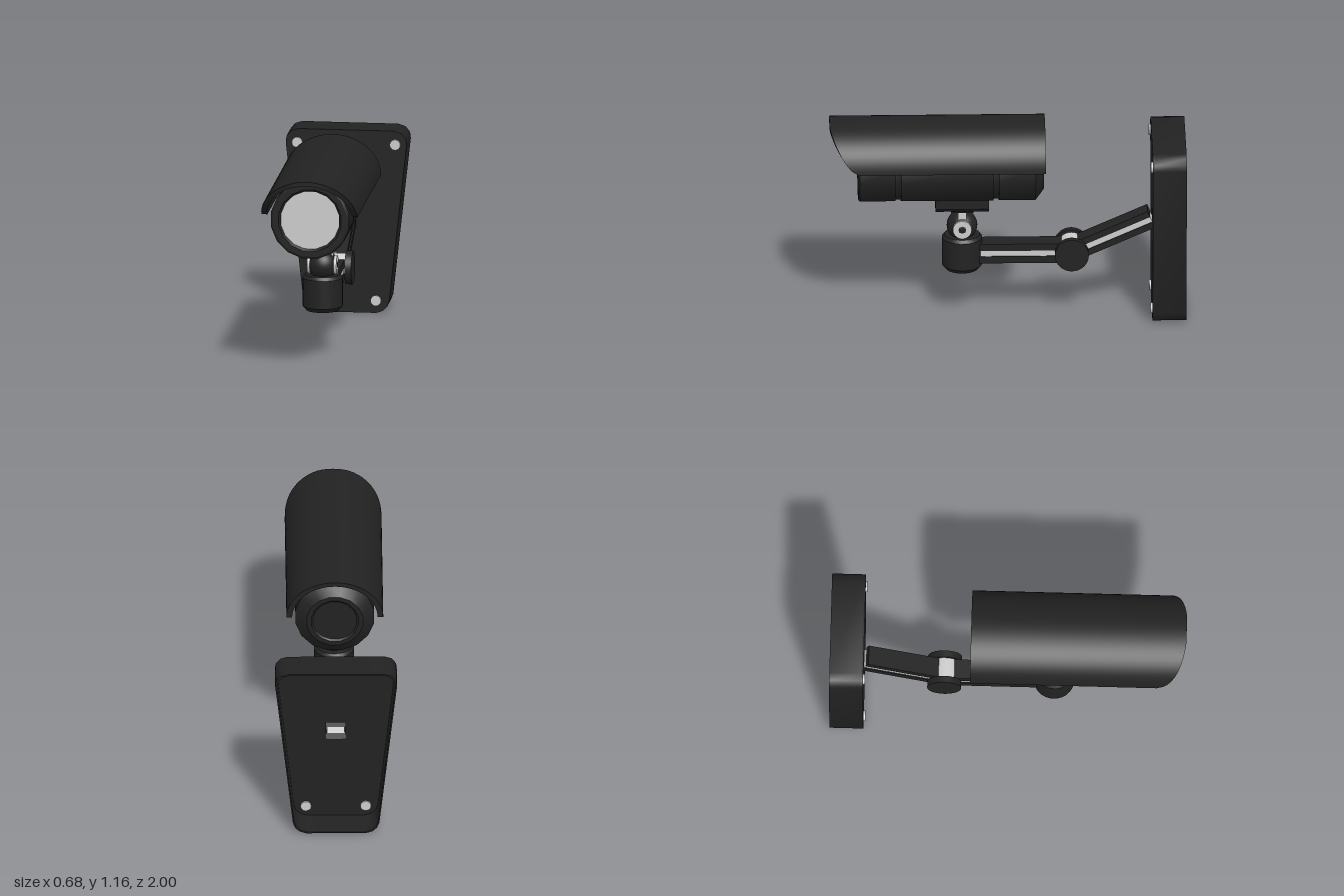
import * as THREE from 'three';
import { toCreasedNormals } from 'three/addons/utils/BufferGeometryUtils.js';

const dark = new THREE.MeshStandardMaterial({ color: 0x222222 });
dark.name = 'black plastic';
const light = new THREE.MeshStandardMaterial({ color: 0xcccccc });
light.name = 'light grey metal';

function add(parent, name, geo, mat, x = 0, y = 0, z = 0) {
  const m = new THREE.Mesh(geo, mat);
  m.name = name;
  m.position.set(x, y, z);
  parent.add(m);
  return m;
}

// Turned part around y, profile given as [radius, height] from bottom to top
function turned(profile, segs) {
  const pts = profile.map(([r, h]) => new THREE.Vector2(r, h));
  return toCreasedNormals(new THREE.LatheGeometry(pts, segs, Math.PI / segs), 0.45);
}

const cylX = (r, len, segs = 32) => new THREE.CylinderGeometry(r, r, len, segs).rotateZ(Math.PI / 2);
const cylZ = (r, len, segs = 24) => new THREE.CylinderGeometry(r, r, len, segs).rotateX(Math.PI / 2);

// Tapered wall plate outline with rounded corners, shrunk by an inset
function plateOutline(inset) {
  const half = [[0.17, 0], [0.205, 0.012], [0.23, 0.035], [0.243, 0.07],
    [0.342, 0.97], [0.338, 1.005], [0.312, 1.037], [0.27, 1.05]];
  const kx = 1 - inset / 0.29, ky = 1 - inset / 0.525;
  const right = half.map(([x, y]) => new THREE.Vector2(x * kx, 0.525 + (y - 0.525) * ky));
  const left = right.map(p => new THREE.Vector2(-p.x, p.y)).reverse();
  return right.concat(left);
}

function wallPlate(g) {
  const rim = new THREE.Shape(plateOutline(0));
  rim.holes.push(new THREE.Path(plateOutline(0.008)));
  const rimGeo = new THREE.ExtrudeGeometry(rim, { depth: 0.18, bevelEnabled: false });
  add(g, 'wallPlateRim', toCreasedNormals(rimGeo, 0.6), dark, 0, 0, -1);

  // face with an opening for the arm
  const face = new THREE.Shape(plateOutline(0));
  face.holes.push(new THREE.Path([[-0.055, 0.51], [-0.055, 0.62], [0.055, 0.62], [0.055, 0.51]]
    .map(([x, y]) => new THREE.Vector2(x, y))));
  const faceGeo = new THREE.ExtrudeGeometry(face, { depth: 0.01, bevelEnabled: false });
  add(g, 'wallPlateFace', toCreasedNormals(faceGeo, 0.6), dark, 0, 0, -0.82);

  for (const s of [-1, 1]) {
    add(g, 'upperScrew', cylZ(0.03, 0.03), light, s * 0.277, 0.972, -0.815);
    add(g, 'lowerScrew', cylZ(0.03, 0.03), light, s * 0.168, 0.072, -0.815);
  }
}

// Grooved arm running along z from z0 to z1
function armSection(g, name, z0, z1, h) {
  const arm = new THREE.Group();
  arm.name = name;
  const len = Math.abs(z1 - z0), mid = (z0 + z1) / 2, bar = (h - 0.034) / 2;
  for (const s of [-1, 1]) {
    add(arm, 'armBar', new THREE.BoxGeometry(0.113, bar, len), dark, 0, s * (h - bar) / 2, mid);
  }
  add(arm, 'armCore', new THREE.BoxGeometry(0.1, 0.036, len - 0.004), light, 0, 0, mid);
  g.add(arm);
  return arm;
}

function armAndJoints(g) {
  const y = 0.363, elbowZ = -0.36;
  armSection(g, 'frontArm', 0.2, -0.305, 0.115).position.y = y;
  const rear = armSection(g, 'rearArm', -0.06, -0.49, 0.106);
  rear.position.set(0, y, elbowZ);
  rear.rotation.x = 0.42;

  // elbow
  add(g, 'elbowPin', cylX(0.08, 0.12), light, 0, y, elbowZ);
  for (const s of [-1, 1]) add(g, 'elbowDisc', cylX(0.095, 0.038), dark, s * 0.076, y, elbowZ);

  // socket and ball joint
  const z = 0.255;
  add(g, 'socket', turned([[0, 0.26], [0.093, 0.26], [0.114, 0.285], [0.114, 0.447],
    [0.1, 0.465], [0, 0.465]], 24), dark, 0, 0, z);
  add(g, 'ball', new THREE.SphereGeometry(0.086, 32, 20), dark, 0, 0.52, z);
  add(g, 'ballPin', cylX(0.053, 0.166), light, 0, 0.52, z);
  add(g, 'neck', new THREE.BoxGeometry(0.126, 0.08, 0.05), light, 0, 0.59, z);
}

function cameraBody(g) {
  const y = 0.905, z = 0.255;
  // housing with two seams and a tapered rear cap
  add(g, 'housing', turned([[0, -0.195], [0.125, -0.195], [0.135, -0.203], [0.16, -0.203],
    [0.225, -0.155], [0.225, 0.05], [0.216, 0.05], [0.216, 0.08], [0.225, 0.08],
    [0.225, 0.6], [0.216, 0.6], [0.216, 0.632], [0.225, 0.632], [0.225, 0.832],
    [0.212, 0.84], [0.18, 0.84], [0.168, 0.825], [0, 0.825]], 16).rotateX(Math.PI / 2), dark, 0, y, 0);
  add(g, 'lens', new THREE.CircleGeometry(0.168, 16, Math.PI / 16), light, 0, y, 0.829);

  // mounting block under the housing
  const block = new THREE.Shape([[-0.12, 0.75], [-0.12, 0.662], [-0.092, 0.637],
    [0.092, 0.637], [0.12, 0.662], [0.12, 0.75]].map(([a, b]) => new THREE.Vector2(a, b)));
  add(g, 'mountBlock', new THREE.ExtrudeGeometry(block, { depth: 0.3, bevelEnabled: false }), dark, 0, 0, 0.106);
  add(g, 'mountPad', new THREE.BoxGeometry(0.15, 0.02, 0.126), dark, 0, 0.632, z);
}

// Arched sunshade: a thick elliptical shell with a curved front edge
function sunshade(g) {
  const n = 28, pos = [], idx = [], baseY = 0.935;
  for (let i = 0; i <= n; i++) {
    const a = Math.PI * i / n, c = Math.cos(a), s = Math.max(0, Math.sin(a));
    const front = 0.84 + 0.16 * Math.pow(Math.min(1, s * 1.05), 0.65);
    for (const [rx, ry, z] of [[0.272, 0.228, -0.21], [0.272, 0.228, front],
      [0.24, 0.203, front], [0.24, 0.203, -0.21]]) pos.push(rx * c, baseY + ry * s, z);
  }
  for (let i = 0; i < n; i++) {
    for (let j = 0; j < 4; j++) {
      const a = i * 4 + j, b = i * 4 + (j + 1) % 4;
      idx.push(a, a + 4, b, b, a + 4, b + 4);
    }
  }
  const e = n * 4;
  idx.push(0, 1, 2, 0, 2, 3, e, e + 2, e + 1, e, e + 3, e + 2);
  const geo = new THREE.BufferGeometry();
  geo.setAttribute('position', new THREE.Float32BufferAttribute(pos, 3));
  geo.setIndex(idx);
  add(g, 'sunshade', toCreasedNormals(geo, 0.5), dark);
}

export function createModel() {
  const g = new THREE.Group();
  g.name = 'securityCamera';
  wallPlate(g);
  armAndJoints(g);
  cameraBody(g);
  sunshade(g);
  return g;
}
